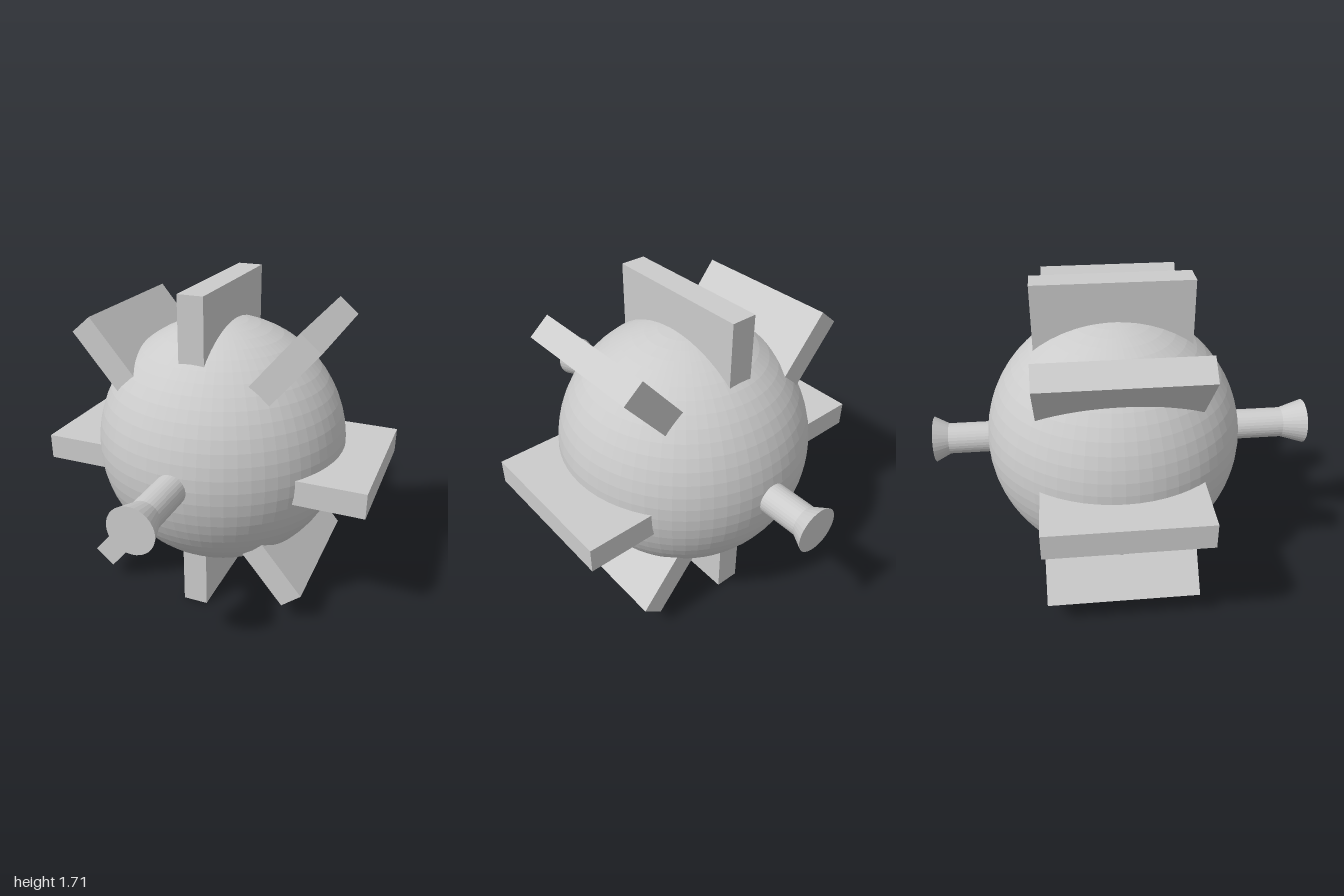
import * as THREE from 'three';

const CX = -0.015, CY = 0.843, CZ = -0.05;

export function createModel() {
  const group = new THREE.Group();
  const flat = new THREE.MeshStandardMaterial({ color: 0xcccccc, flatShading: true });
  const add = (name, geometry, x, y, z) => {
    const mesh = new THREE.Mesh(geometry, flat);
    mesh.name = name;
    mesh.position.set(x, y, z);
    group.add(mesh);
    return mesh;
  };

  // Round body with vertical poles
  add('body', new THREE.SphereGeometry(0.671, 64, 32), CX, CY, CZ);

  // Slab fins around the body: name, outer end x/y, inward direction x/y, depth, centre z
  const fins = [
    ['topFin', -0.016, 1.712, 0, -1, 0.8, -0.05],
    ['bottomFin', -0.016, 0, 0, 1, 0.8, -0.05],
    ['leftFin', 0.87, 0.798, -1, 0, 0.8, -0.05],
    ['rightFin', -0.87, 0.798, 1, 0, 0.8, -0.05],
    ['upperLeftFin', 0.56, 1.548, -0.64, -0.768, 0.74, -0.03],
    ['upperRightFin', -0.615, 1.513, 0.64, -0.768, 0.8, -0.05],
    ['lowerLeftFin', 0.53, 0.156, -0.64, 0.768, 0.8, -0.05],
    ['lowerRightFin', -0.587, 0.141, 0.64, 0.768, 0.8, -0.05],
  ];
  const length = 0.46, thickness = 0.133;
  for (const [name, x, y, dx, dy, depth, z] of fins) {
    const fin = add(name, new THREE.BoxGeometry(length, thickness, depth),
      x + dx * length / 2, y + dy * length / 2, z);
    fin.rotation.z = Math.atan2(dy, dx);
  }

  // Pegs with flared, capped ends at front and back
  const peg = (name, y, side, flareStart) => {
    const profile = [[0, 0.5], [0.081, 0.5], [0.081, flareStart], [0.12, 1], [0, 1]]
      .map(([r, h]) => new THREE.Vector2(r, h));
    const mesh = add(name, new THREE.LatheGeometry(profile, 32), CX, y, 0);
    mesh.rotation.x = side * Math.PI / 2;
  };
  peg('frontPeg', 0.838, 1, 0.875);
  peg('backPeg', 0.845, -1, 0.925);

  return group;
}
